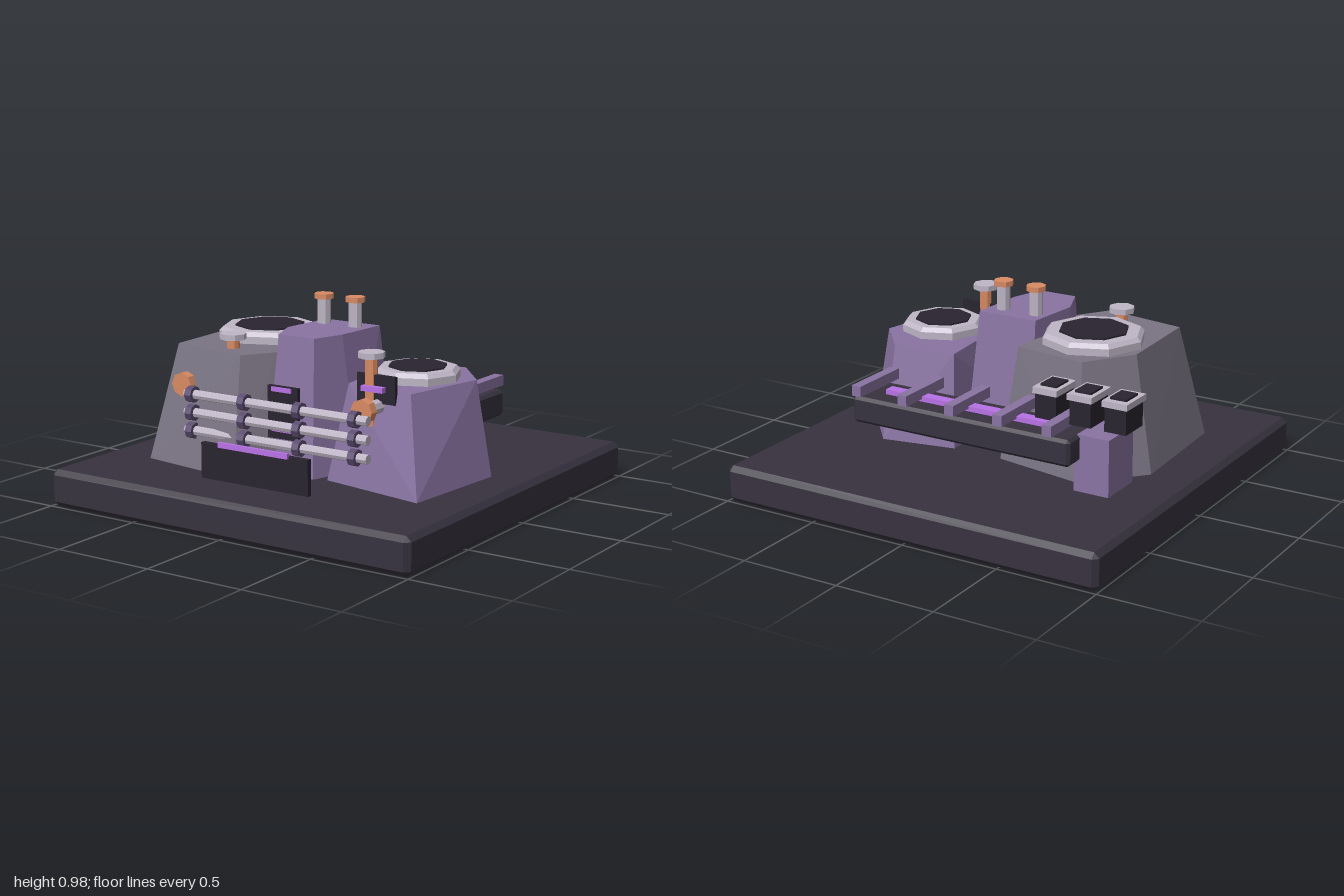
import * as THREE from 'three';
import { ConvexGeometry } from 'three/addons/geometries/ConvexGeometry.js';

const paint = (color) => new THREE.MeshStandardMaterial({ color, flatShading: true });
const M = {
  base: paint(0x37323f), grey: paint(0x7b7584), purple: paint(0x8a74a3), strap: paint(0x5c4c70),
  light: paint(0xbfb6c6), copper: paint(0xd98a63), glow: paint(0xb872e6), dark: paint(0x29242f),
};

export function createModel() {
  const model = new THREE.Group();

  const add = (name, geometry, material, x = 0, y = 0, z = 0) => {
    const mesh = new THREE.Mesh(geometry, material);
    mesh.name = name;
    mesh.position.set(x, y, z);
    model.add(mesh);
    return mesh;
  };

  // Box given by its extents
  const box = (name, mat, x0, x1, y0, y1, z0, z1) =>
    add(name, new THREE.BoxGeometry(x1 - x0, y1 - y0, z1 - z0), mat, (x0 + x1) / 2, (y0 + y1) / 2, (z0 + z1) / 2);

  // Box with chamfered edges, given by its extents
  const chamferBox = (name, mat, x0, x1, y0, y1, z0, z1, b) => {
    const points = [];
    const h = [(x1 - x0) / 2, (y1 - y0) / 2, (z1 - z0) / 2];
    for (const sx of [-1, 1]) for (const sy of [-1, 1]) for (const sz of [-1, 1])
      for (let k = 0; k < 3; k++) {
        const inset = [b, b, b];
        inset[k] = 0;
        points.push(new THREE.Vector3(sx * (h[0] - inset[0]), sy * (h[1] - inset[1]), sz * (h[2] - inset[2])));
      }
    return add(name, new ConvexGeometry(points), mat, (x0 + x1) / 2, (y0 + y1) / 2, (z0 + z1) / 2);
  };

  // Upright eight-sided post
  const post = (name, mat, x, z, r, y0, y1, rTop = r) =>
    add(name, new THREE.CylinderGeometry(rTop, r, y1 - y0, 8), mat, x, (y0 + y1) / 2, z);

  // Rock-like tower between a footprint and a smaller top outline
  const tower = (name, mat, foot, top, height) => {
    const at = (y) => ([x, z]) => new THREE.Vector3(x, y, z);
    return add(name, new ConvexGeometry([...foot.map(at(0.18)), ...top.map(at(height))]), mat);
  };

  chamferBox('base', M.base, -1, 1, 0, 0.18, -1, 1, 0.025);

  // Three towers
  tower('rightTower', M.grey,
    [[-0.77, -0.06], [-0.74, 0.57], [-0.18, 0.65], [-0.04, 0.42], [-0.06, -0.25], [-0.53, -0.33]],
    [[-0.66, -0.02], [-0.64, 0.46], [-0.22, 0.53], [-0.12, 0.38], [-0.13, -0.2], [-0.5, -0.25]], 0.74);
  tower('leftTower', M.purple,
    [[0.2, 0.43], [0.75, 0.53], [0.8, -0.05], [0.57, -0.32], [0.2, -0.25]],
    [[0.28, 0.37], [0.64, 0.41], [0.73, -0.02], [0.55, -0.23], [0.23, -0.2]], 0.64);
  tower('middleTower', M.purple,
    [[-0.15, -0.13], [0.21, -0.13], [0.22, 0.2], [0.14, 0.46], [-0.13, 0.46], [-0.2, 0.2]],
    [[-0.14, -0.06], [0.17, -0.06], [0.15, 0.23], [0.1, 0.39], [-0.1, 0.39], [-0.17, 0.22]], 0.83);

  // Hatches on the outer towers
  for (const [x, z, y, r, hole] of [[-0.39, 0.06, 0.74, 0.25, 0.17], [0.49, 0.11, 0.645, 0.205, 0.14]]) {
    post('hatchRim', M.light, x, z, r, y, y + 0.035);
    post('hatchRimBevel', M.light, x, z, r, y + 0.035, y + 0.055, r - 0.02);
    post('hatchOpening', M.dark, x, z, hole, y + 0.01, y + 0.063);
  }

  // Chimneys on the middle tower
  for (const x of [-0.09, 0.09]) {
    post('chimney', M.light, x, 0.03, 0.033, 0.82, 0.95);
    post('chimneyCap', M.copper, x, 0.03, 0.048, 0.95, 0.975);
  }

  // Copper vents at the front of the outer towers
  for (const [x, y] of [[-0.35, 0.6], [0.43, 0.47]]) {
    post('vent', M.copper, x, 0.41, 0.03, y, 0.785);
    post('ventCap', M.light, x, 0.41, 0.063, 0.785, 0.812);
  }

  // Pipe rack with collars
  for (const y of [0.535, 0.447, 0.36]) {
    add('frontPipe', new THREE.CylinderGeometry(0.023, 0.023, 1.03, 8), M.light, 0.013, y, 0.585).rotation.z = Math.PI / 2;
    for (const x of [-0.465, -0.16, 0.15, 0.455])
      add('pipeCollar', new THREE.CylinderGeometry(0.04, 0.04, 0.037, 8), M.strap, x, y, 0.585).rotation.z = Math.PI / 2;
  }

  // Valve knobs and their stems
  for (const x of [-0.55, 0.47]) {
    add('valveKnob', new THREE.CylinderGeometry(0.058, 0.058, 0.045, 8), M.copper, x, 0.565, 0.535).rotation.x = Math.PI / 2;
    add('valveStem', new THREE.CylinderGeometry(0.035, 0.035, 0.16, 8), M.light, x, 0.565, 0.435).rotation.x = Math.PI / 2;
  }

  // Glowing control panels
  box('middlePanel', M.dark, -0.09, 0.08, 0.36, 0.61, 0.475, 0.495);
  for (const y of [0.405, 0.595]) box('panelLight', M.glow, -0.065, 0.045, y - 0.011, y + 0.011, 0.49, 0.502);
  box('sidePanel', M.dark, 0.36, 0.565, 0.58, 0.71, 0.405, 0.425);
  box('panelLight', M.glow, 0.4, 0.515, 0.635, 0.66, 0.42, 0.455);
  box('panelLight', M.glow, -0.395, -0.31, 0.715, 0.735, 0.42, 0.46);
  box('lowPanel', M.dark, -0.29, 0.31, 0.19, 0.36, 0.72, 0.745);
  box('lowPanelLight', M.glow, -0.185, 0.205, 0.35, 0.375, 0.74, 0.757);

  // Rear trough with a light strip and ribs
  chamferBox('rearTrough', M.base, -0.61, 0.575, 0.345, 0.475, -0.56, -0.295, 0.015);
  box('rearLight', M.glow, -0.5, 0.45, 0.46, 0.5, -0.457, -0.403);
  for (let i = 0; i < 5; i++) {
    const x = -0.51 + 0.26 * i;
    box('rearRib', M.purple, x - 0.025, x + 0.025, 0.488, 0.54, -0.587, -0.267);
  }

  // Corner block and three framed boxes above it
  box('cornerBlock', M.purple, -0.76, -0.58, 0.2, 0.475, -0.46, -0.23);
  for (const x of [-0.77, -0.59, -0.41]) {
    box('ventBox', M.dark, x - 0.055, x + 0.055, 0.5, 0.62, -0.425, -0.265);
    box('ventFrame', M.light, x - 0.064, x + 0.064, 0.62, 0.65, -0.435, -0.252);
    box('ventOpening', M.dark, x - 0.042, x + 0.042, 0.63, 0.66, -0.4, -0.29);
  }

  return model;
}
